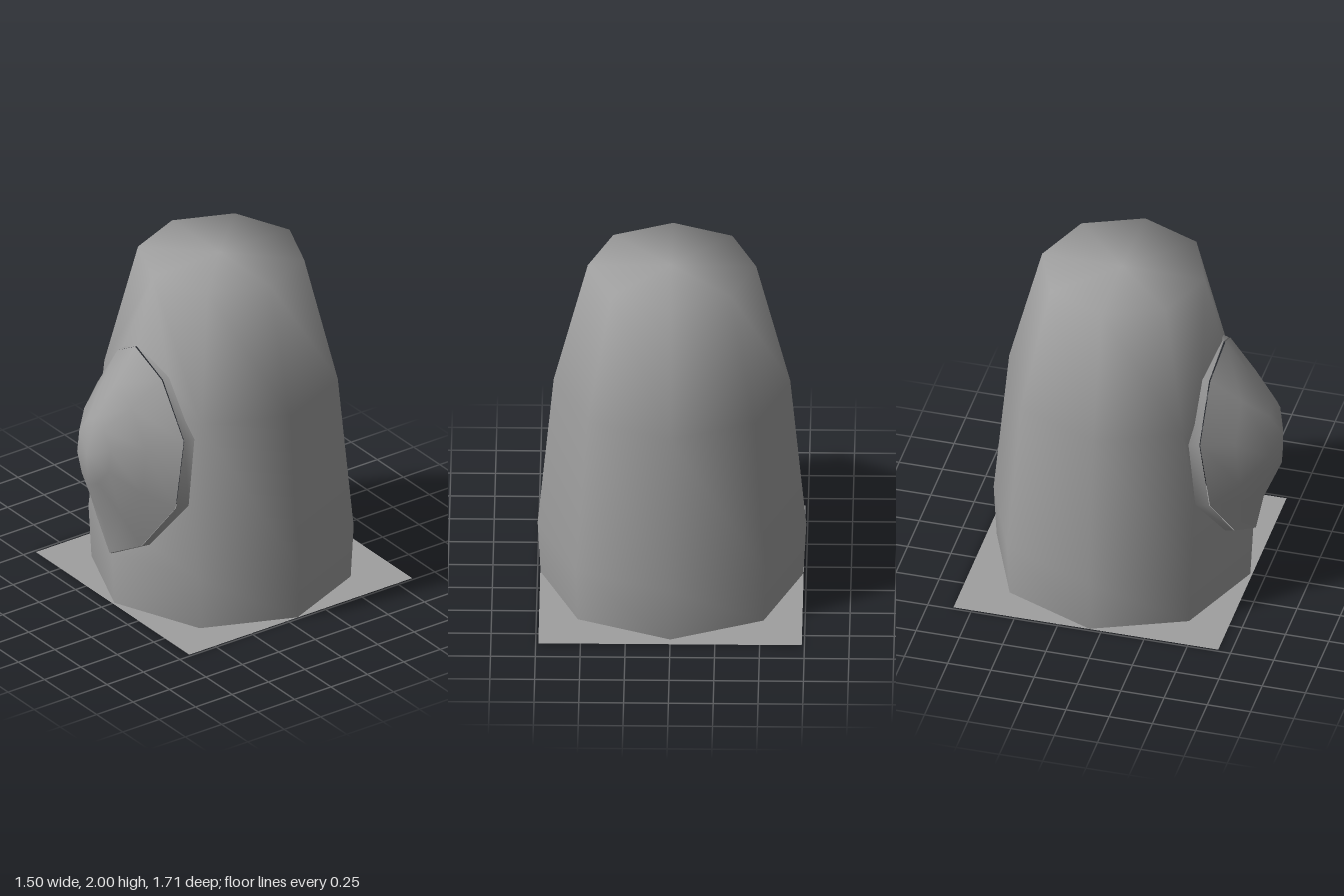
import * as THREE from 'three';
import { mergeGeometries } from 'three/addons/utils/BufferGeometryUtils.js';

const CENTER_Z = -0.07;
const { lerp } = THREE.MathUtils;

// Body rings: height, radius, and how far the smooth normal tilts upward
const RINGS = [
  { y: 0, r: 0.733, tilt: -0.06 },
  { y: 0.32, r: 0.75, tilt: 0.06 },
  { y: 1.25, r: 0.66, tilt: 0.17 },
  { y: 1.99, r: 0.47, tilt: 0.88 },
];

// Right half of the window outline, bottom to top
const HALF_WINDOW = [[0, 0.32], [0.22, 0.44], [0.43, 0.745], [0.43, 1.155], [0.22, 1.46], [0, 1.59]];
const WINDOW = [...HALF_WINDOW, ...HALF_WINDOW.slice(1, -1).reverse().map(([x, y]) => [-x, y])];
const WINDOW_Y = 0.955, WINDOW_HALF = 0.635, WINDOW_X = 0.43;

function ringAt(y) {
  const i = y <= RINGS[1].y ? 0 : y <= RINGS[2].y ? 1 : 2;
  const a = RINGS[i], b = RINGS[i + 1], t = (y - a.y) / (b.y - a.y);
  return { r: lerp(a.r, b.r, t), tilt: lerp(a.tilt, b.tilt, t) };
}

// Depth of the two front facets of the octagonal body
const frontZ = (x, y) => ringAt(y).r - Math.abs(x) * Math.tan(Math.PI / 8) + CENTER_Z;

// Flat outline in x, y laid onto the front facets
function frontPanel(points, side) {
  const geo = new THREE.ShapeGeometry(new THREE.Shape(points.map(([x, y]) => new THREE.Vector2(x * side, y))));
  const pos = geo.attributes.position, n = new THREE.Vector3();
  for (let i = 0; i < pos.count; i++) {
    const x = pos.getX(i), y = pos.getY(i), z = frontZ(x, y);
    pos.setZ(i, z);
    n.set(x, 0, z - CENTER_Z).normalize().setY(ringAt(y).tilt).normalize();
    geo.attributes.normal.setXYZ(i, n.x, n.y, n.z);
  }
  return geo;
}

// Eight-sided body with the front wall cut out for the window
function bodyGeometry() {
  const profile = [...RINGS.map(({ r, y }) => new THREE.Vector2(r, y)), new THREE.Vector2(0, 2)];
  const shell = new THREE.LatheGeometry(profile, 8);
  const perSide = profile.length - 1;
  const kept = Array.from(shell.index.array).filter((_, k) => {
    const quad = Math.floor(k / 6), side = Math.floor(quad / perSide), band = quad % perSide;
    return !((side === 0 || side === 7) && band < 3);
  });
  shell.setIndex(kept);
  shell.translate(0, 0, CENTER_Z);

  const corner = RINGS.map(({ r, y }) => [r * Math.SQRT1_2, y]);
  const [w0, w1, w2, w3, w4, w5] = HALF_WINDOW;
  const cut = [0.365, 1.25];
  const bands = [
    [[0, 0], corner[0], corner[1], w0],
    [w0, corner[1], corner[2], cut, w3, w2, w1],
    [cut, corner[2], corner[3], [0, 1.99], w5, w4],
  ];
  const panels = [1, -1].flatMap((side) => bands.map((b) => frontPanel(b, side)));
  return mergeGeometries([shell, ...panels]);
}

// Skin over closed loops of points, optionally closed by a tip
function loft(loops, tip) {
  const n = loops[0].length, pos = loops.flat(2), index = [];
  for (let l = 0; l < loops.length - 1; l++) {
    for (let i = 0; i < n; i++) {
      const j = (i + 1) % n, a = l * n + i, b = l * n + j;
      index.push(a, b, b + n, a, b + n, a + n);
    }
  }
  if (tip) {
    pos.push(...tip);
    const last = (loops.length - 1) * n;
    for (let i = 0; i < n; i++) index.push(last + i, last + (i + 1) % n, loops.length * n);
  }
  const geo = new THREE.BufferGeometry();
  geo.setAttribute('position', new THREE.Float32BufferAttribute(pos, 3));
  geo.setIndex(index);
  geo.computeVertexNormals();
  return geo;
}

// Window outline scaled about its middle, sloped in z and swept back towards the sides
function windowLoop(sx, sy, cy, zTop, zBottom, sweep) {
  return WINDOW.map(([x, y]) => {
    const v = (y - WINDOW_Y) / WINDOW_HALF;
    const z = lerp(zBottom, zTop, (v + 1) / 2) - sweep * Math.abs(x) / WINDOW_X;
    return [x * sx, cy + v * WINDOW_HALF * sy, z];
  });
}

export function createModel() {
  const model = new THREE.Group();
  const add = (name, geo, side = THREE.FrontSide) => {
    const mesh = new THREE.Mesh(geo, new THREE.MeshStandardMaterial({ color: 0x9f9f9f, side }));
    mesh.name = name;
    model.add(mesh);
    return mesh;
  };

  add('body', bodyGeometry());

  // Bulging front cover over the window
  add('frontCover', loft([
    windowLoop(0.97, 0.99, WINDOW_Y, 0.52, 0.695, 0.095),
    windowLoop(0.69, 0.66, 0.97, 0.66, 0.74, 0.03),
    windowLoop(0.35, 0.32, 1.01, 0.8, 0.845, 0.02),
  ], [0, 1, 0.853]));

  // Lining from the body out to just behind the cover's rim
  add('windowLining', loft([
    WINDOW.map(([x, y]) => [x, y, frontZ(x, y)]),
    windowLoop(0.97, 0.99, WINDOW_Y, 0.51, 0.687, 0.09),
  ]), THREE.DoubleSide);

  // Flat base sheet
  const base = add('base', new THREE.PlaneGeometry(1.47, 1.53), THREE.DoubleSide);
  base.rotation.x = -Math.PI / 2;
  base.position.z = -0.09;

  return model;
}
